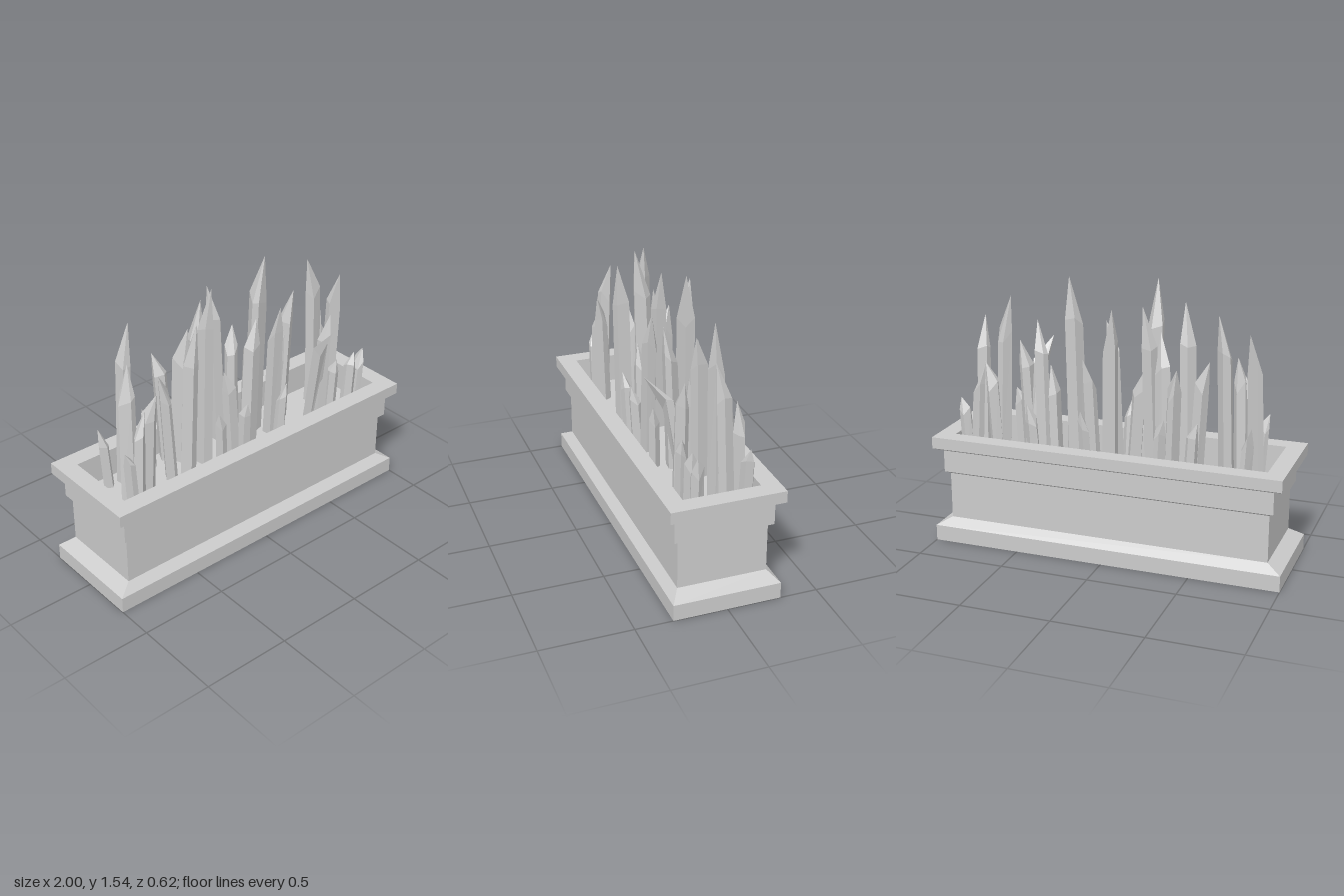
import * as THREE from 'three';

const grey = new THREE.MeshStandardMaterial({ color: 0xcccccc, flatShading: true });
const SOIL = 0.46;

// Skin a stack of rings (equal point counts, counter-clockwise from above) with flat faces
function loft(rings) {
  const pos = [];
  const tri = (a, b, c) => {
    if (a.equals(b) || b.equals(c) || c.equals(a)) return;
    pos.push(...a.toArray(), ...b.toArray(), ...c.toArray());
  };
  for (let i = 0; i < rings.length - 1; i++) {
    const lo = rings[i], hi = rings[i + 1];
    for (let j = 0; j < lo.length; j++) {
      const k = (j + 1) % lo.length;
      tri(lo[j], lo[k], hi[k]);
      tri(lo[j], hi[k], hi[j]);
    }
  }
  const g = new THREE.BufferGeometry();
  g.setAttribute('position', new THREE.Float32BufferAttribute(pos, 3));
  g.computeVertexNormals();
  return g;
}

function rectRing([x, z, y]) {
  return [[1, 1], [1, -1], [-1, -1], [-1, 1]].map(([sx, sz]) => new THREE.Vector3(sx * x, y, sz * z));
}

function addMesh(parent, geometry, name) {
  const mesh = new THREE.Mesh(geometry, grey);
  mesh.name = name;
  parent.add(mesh);
  return mesh;
}

// Small seeded generator for irregular shards
let seed = 7;
function rand(min, max) {
  seed = (seed * 16807) % 2147483647;
  return min + (max - min) * (seed / 2147483647);
}

// Faceted spike: irregular column, sloping shoulder, off-centre point.
// The point is moved sideways by lean, towards an angle measured from +x to +z.
function shard(x, z, angle, height, lean = 0.06) {
  const sides = 5;
  const radius = 0.02 + height * 0.025;
  const dx = Math.cos(angle) * lean, dz = Math.sin(angle) * lean;
  const start = rand(0, Math.PI * 2);
  const corners = Array.from({ length: sides }, (_, i) => ({
    a: start + ((i + rand(-0.22, 0.22)) / sides) * Math.PI * 2,
    r: radius * rand(0.8, 1.1),
    drop: rand(-0.04, 0.04),
  }));
  const ring = (y, shift, scale, wobble) => corners.map(({ a, r, drop }) => new THREE.Vector3(
    x + dx * shift + Math.cos(a) * r * scale,
    y + drop * wobble,
    z + dz * shift - Math.sin(a) * r * scale));
  return loft([
    ring(SOIL - 0.01, 0, 0, 0),
    ring(SOIL - 0.01, -0.1, 0.92, 0),
    ring(SOIL + (height - SOIL) * 0.77, 0.35, 0.86, 1),
    ring(height, 1, 0, 0),
  ]);
}

// Tall shards by height: [x, z, lean direction in eighths of a turn]
const tallShards = [
  [1.54, [[-0.2, 0.01, 2], [0.21, -0.07, 0.5]]],
  [1.41, [[-0.65, -0.12, 0], [-0.38, 0.08, 1], [-0.22, -0.07, 0], [0, -0.13, 5.4], [0.66, -0.07, 4]]],
  [1.28, [[-0.76, 0.08, 7], [-0.3, -0.1, 1], [0.04, 0.08, 0], [0.42, -0.07, 1], [0.79, -0.06, 2], [0.27, 0.02, 2]]],
  [1.12, [[-0.45, 0.01, 4], [-0.67, 0.11, 1], [0.1, -0.13, 7], [0.57, 0.1, 0], [-0.35, -0.16, 5]]],
  [1.03, [[-0.07, 0.08, 4], [0.35, -0.06, 1], [0.79, -0.14, 4], [-0.74, 0.12, 0], [0.69, -0.1, 0]]],
];

// Short shards along the back and front: x positions per row depth
const shortShards = [
  [-0.15, [-0.75, -0.46, -0.28, 0.13, 0.44, 0.84]],
  [0.12, [-0.78, -0.18, -0.02, 0.24, 0.63, 0.77, 0.84]],
];

export function createModel() {
  seed = 7;
  const model = new THREE.Group();
  model.name = 'planterWithShards';

  // Moulded trough: [half width, half depth, height], up the outside and down the inside
  const profile = [
    [0, 0, 0], [1, 0.295, 0], [1, 0.295, 0.09], [0.92, 0.245, 0.135], [0.92, 0.245, 0.4],
    [0.945, 0.27, 0.415], [0.945, 0.27, 0.54], [0.995, 0.31, 0.56],
    [0.995, 0.31, 0.625], [0.895, 0.21, 0.625], [0.895, 0.21, SOIL],
  ];
  addMesh(model, loft(profile.map(rectRing)), 'planterBox');

  // Soil bed
  const soil = addMesh(model, new THREE.PlaneGeometry(1.79, 0.42), 'soil');
  soil.rotation.x = -Math.PI / 2;
  soil.position.y = SOIL;

  // Spikes growing from the soil
  const shards = new THREE.Group();
  shards.name = 'shards';
  model.add(shards);
  for (const [height, spots] of tallShards) {
    for (const [x, z, eighths] of spots) {
      addMesh(shards, shard(x, z, eighths * Math.PI / 4, height), 'tallShard');
    }
  }
  // Short ones lean outwards from the middle of the trough
  for (const [z, xs] of shortShards) {
    for (const x of xs) addMesh(shards, shard(x, z, Math.atan2(z, x), 0.83, 0.04), 'shortShard');
  }
  // One shard tilts far over the front rim
  addMesh(shards, shard(0.54, 0.07, Math.PI * 0.58, 1.12, 0.2), 'leaningShard');
  return model;
}
